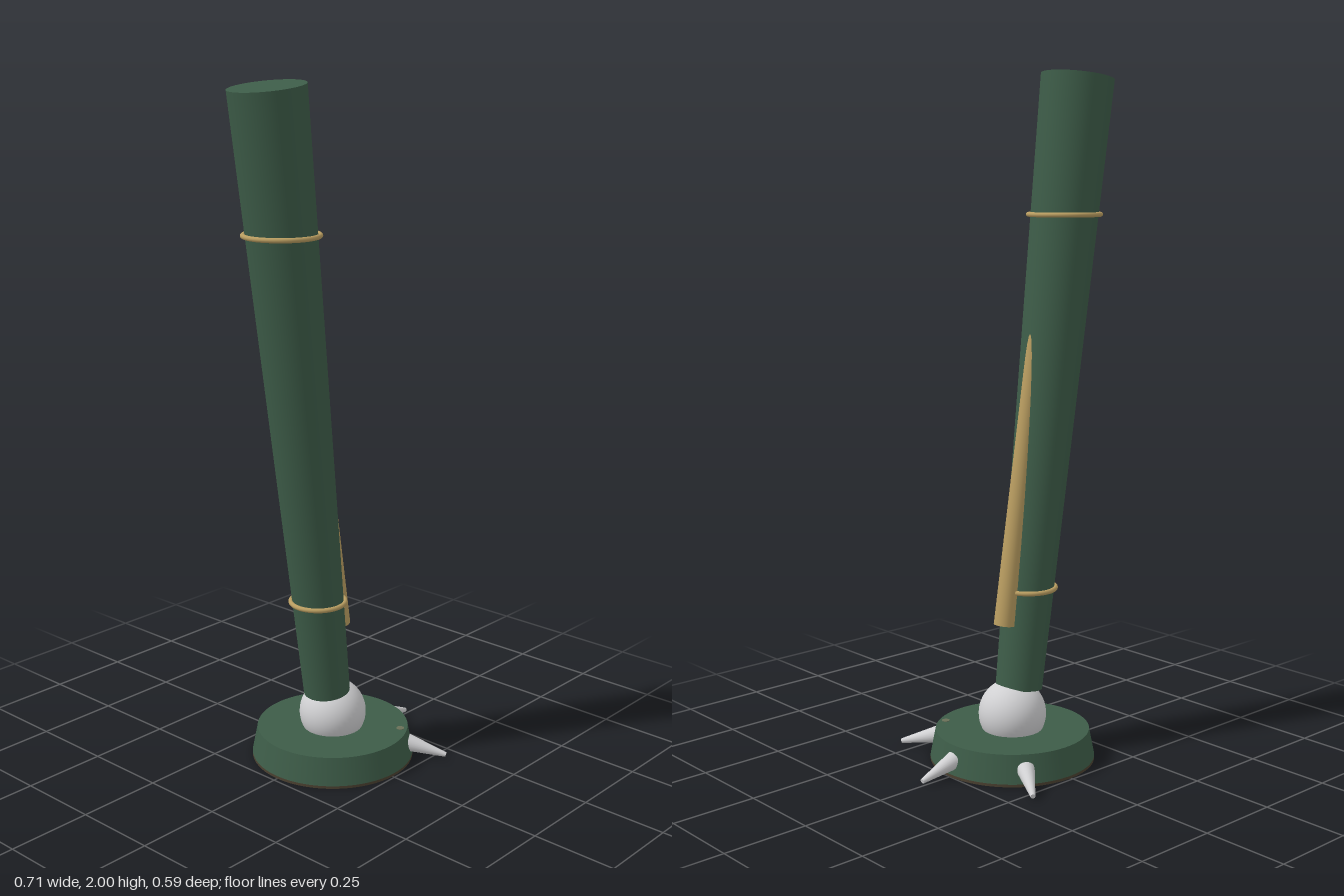
import * as THREE from 'three';

const mat = (name, color) => {
  const m = new THREE.MeshStandardMaterial({ color });
  m.name = name;
  return m;
};

export function createModel() {
  const green = mat('green', 0x3d5c48);
  const gold = mat('gold', 0xb89c60);
  const silver = mat('silver', 0xd0d0d2);
  const brown = mat('dark brown', 0x4a4030);
  const worn = mat('worn tan', 0x6a7058);
  const group = new THREE.Group();
  const V = (x, y, z) => new THREE.Vector3(x, y, z);

  function add(name, geometry, material, x = 0, y = 0, z = 0) {
    const mesh = new THREE.Mesh(geometry, material);
    mesh.name = name;
    mesh.position.set(x, y, z);
    group.add(mesh);
    return mesh;
  }

  // Tapered round bar running from a to b
  function bar(name, a, b, ra, rb, material, sides = 48) {
    const axis = b.clone().sub(a);
    const mid = a.clone().add(b).multiplyScalar(0.5);
    const geometry = new THREE.CylinderGeometry(rb, ra, axis.length(), sides);
    const mesh = add(name, geometry, material, mid.x, mid.y, mid.z);
    mesh.quaternion.setFromUnitVectors(V(0, 1, 0), axis.normalize());
    return mesh;
  }

  // Foot: sole, sloped disc and ankle ball
  const cx = 0.006;
  add('sole', new THREE.CylinderGeometry(0.243, 0.243, 0.008, 64), brown, cx, 0.004, 0);
  add('foot', new THREE.CylinderGeometry(0.227, 0.243, 0.082, 64), green, cx, 0.049, 0);
  add('ankleBall', new THREE.SphereGeometry(0.1, 40, 28), silver, cx, 0.134, 0);
  add('footWornSpot', new THREE.CylinderGeometry(0.012, 0.012, 0.002, 12), worn, 0.118, 0.0905, 0.173);

  // Leaning leg that widens upward
  const foot = V(-0.02, 0.21, 0), top = V(-0.25, 1.985, 0);
  bar('leg', foot, top, 0.069, 0.107, green, 64);

  // Level rings around the leg
  for (const [y, radius] of [[0.505, 0.08], [1.592, 0.105]]) {
    const x = THREE.MathUtils.mapLinear(y, foot.y, top.y, foot.x, top.x);
    add('legRing', new THREE.TorusGeometry(radius, 0.007, 12, 64), gold, x, y, 0).rotation.x = Math.PI / 2;
  }

  // Rear spur sinking into the leg at its upper end
  bar('legSpur', V(0.038, 0.408, 0), V(-0.094, 1.3, 0), 0.031, 0.023, gold, 32);

  // Three spikes fanned around the +x side of the foot
  for (const angle of [-57, 0, 57]) {
    const a = THREE.MathUtils.degToRad(angle);
    const at = (r, y) => V(cx + r * Math.cos(a), y, r * Math.sin(a));
    bar('spike', at(0.228, 0.046), at(0.345, 0.014), 0.026, 0.007, silver, 24);
  }
  return group;
}
